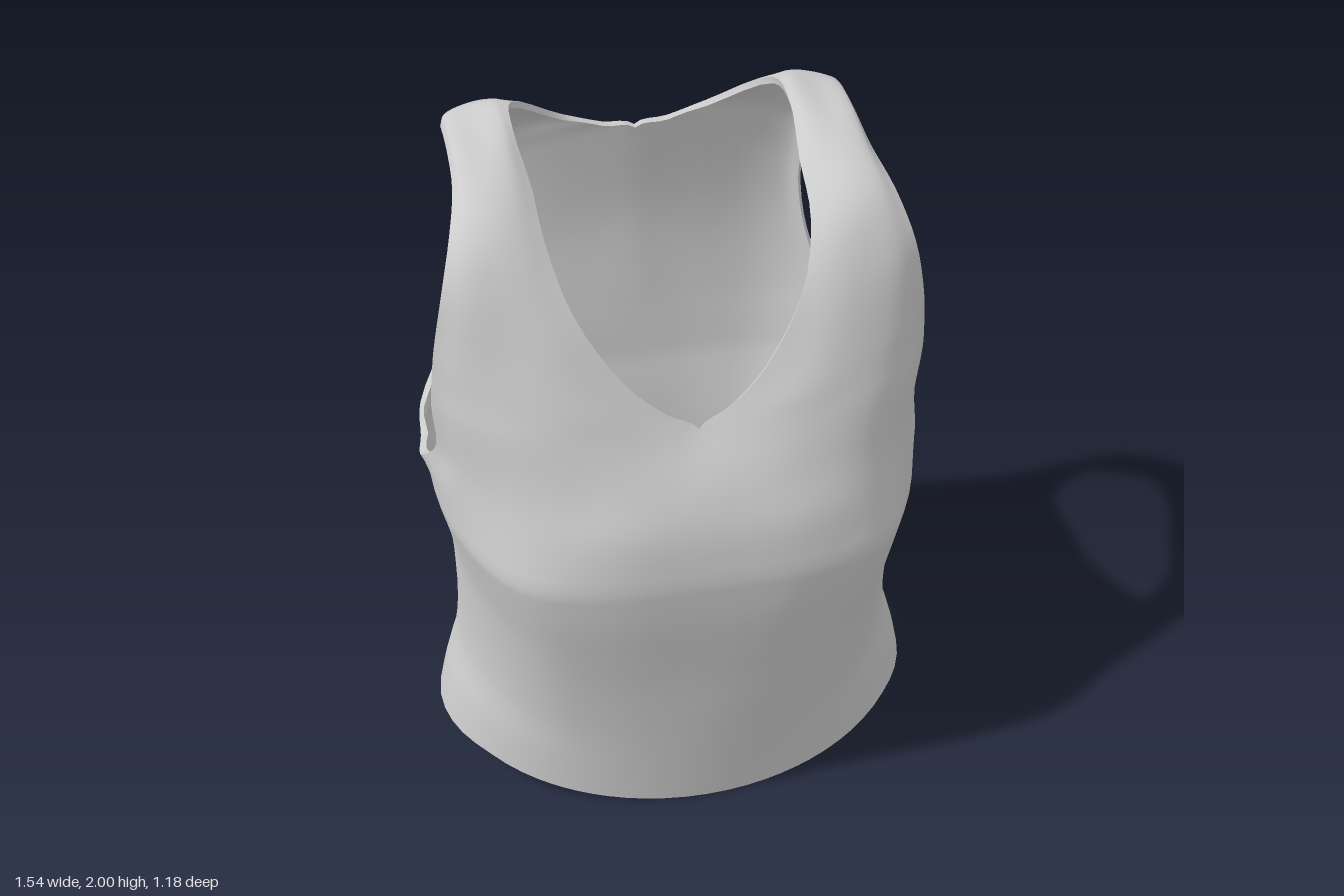
import * as THREE from 'three';
import { mergeGeometries, mergeVertices } from 'three/addons/utils/BufferGeometryUtils.js';

const STEP = 4;   // samples between neighbouring rows
const COLS = 20;  // samples across a row

// Left half of the yoke: each row runs from the armhole edge to the neckline (or centre line).
const chestRows = [
  [[.745, 1.035, -.14], [.705, .97, .21], [.545, .94, .495], [.32, .94, .582], [0, .94, .593]],
  [[.758, 1.08, .01], [.69, 1.08, .235], [.53, 1.09, .445], [.3, 1.09, .545], [0, 1.09, .557]],
  [[.715, 1.21, .14], [.65, 1.21, .28], [.5, 1.21, .42], [.27, 1.21, .485], [0, 1.21, .495]],
  [[.72, 1.36, .16], [.645, 1.36, .28], [.5, 1.35, .38], [.28, 1.34, .42], [0, 1.335, .39]],
  [[.712, 1.46, .172], [.637, 1.445, .268], [.51, 1.43, .345], [.32, 1.41, .39], [.09, 1.385, .37]],
  [[.70, 1.56, .18], [.63, 1.53, .255], [.52, 1.51, .31], [.37, 1.49, .35], [.2, 1.48, .335]],
];
const shoulderRows = [
  [[.665, 1.73, .17], [.6, 1.72, .21], [.5, 1.70, .235], [.41, 1.68, .25], [.32, 1.66, .25]],
  [[.625, 1.85, .08], [.58, 1.86, .11], [.51, 1.86, .125], [.44, 1.84, .13], [.37, 1.81, .12]],
  [[.595, 1.91, -.07], [.57, 1.93, -.05], [.5, 1.94, -.05], [.43, 1.93, -.05], [.38, 1.90, -.05]],
  [[.59, 1.945, -.25], [.575, 1.97, -.25], [.5, 1.98, -.25], [.43, 1.99, -.25], [.4, 1.98, -.25]],
  [[.59, 1.93, -.40], [.575, 1.95, -.43], [.5, 1.97, -.45], [.43, 1.99, -.42], [.385, 1.99, -.39]],
];
const backRows = [
  [[.56, 1.76, -.525], [.535, 1.78, -.56], [.46, 1.81, -.57], [.35, 1.84, -.555], [.22, 1.86, -.535]],
  [[.545, 1.66, -.555], [.505, 1.68, -.582], [.42, 1.73, -.585], [.27, 1.79, -.56], [.1, 1.82, -.54]],
  [[.535, 1.56, -.56], [.495, 1.58, -.585], [.4, 1.64, -.59], [.24, 1.73, -.565], [0, 1.80, -.54]],
  [[.555, 1.38, -.53], [.50, 1.38, -.56], [.385, 1.4, -.58], [.2, 1.45, -.575], [0, 1.5, -.565]],
  [[.62, 1.2, -.45], [.55, 1.18, -.497], [.41, 1.18, -.542], [.2, 1.2, -.545], [0, 1.22, -.54]],
  [[.73, 1.06, -.28], [.625, 1.06, -.41], [.435, 1.07, -.51], [.22, 1.08, -.525], [0, 1.09, -.525]],
  [[.745, 1.035, -.14], [.675, .98, -.34], [.45, .97, -.48], [.22, .97, -.508], [0, .97, -.51]],
];
const yokeRows = [...chestRows, ...shoulderRows, ...backRows];
const NECK_FRONT = 3 * STEP, NECK_BACK = 13 * STEP;

// Waist profile, evenly spaced from underarm to hem: half width, front depth, back depth.
const waist = new THREE.CatmullRomCurve3([
  [.745, .593, .51], [.715, .592, .483], [.694, .583, .462], [.689, .573, .45],
  [.69, .566, .445], [.703, .558, .455], [.742, .549, .472], [.772, .54, .465],
].map(p => new THREE.Vector3(...p)), false, 'catmullrom');

function sample(points, count) {
  const curve = new THREE.CatmullRomCurve3(points);
  return Array.from({ length: count + 1 }, (_, i) => {
    const p = curve.getPoint(i / count);
    p.x = Math.max(0, p.x);
    return p;
  });
}

// Surface through equally long rows of points.
function grid(rows) {
  const n = rows[0].length, index = [];
  for (let r = 0; r < rows.length - 1; r++) {
    for (let c = 0; c < n - 1; c++) {
      const a = r * n + c, b = a + n;
      index.push(a, b, a + 1, b, b + 1, a + 1);
    }
  }
  const geometry = new THREE.BufferGeometry().setFromPoints(rows.flat());
  geometry.setIndex(index);
  geometry.computeVertexNormals();
  return geometry;
}

const mirrorRows = rows => rows.map(row =>
  row.map(p => new THREE.Vector3(-p.x, p.y, p.z)).reverse());

function yokeGrid() {
  const columns = [0, 1, 2, 3, 4].map(c => sample(
    yokeRows.map(row => new THREE.Vector3(...row[c])), (yokeRows.length - 1) * STEP));
  return columns[0].map((_, r) => sample(columns.map(col => col[r]), COLS));
}

// Rings from the underarm line down to the curved hem, easing into an ellipse.
function bodyGrid(topRing) {
  const steps = 28, top = waist.getPoint(0);
  return Array.from({ length: steps + 1 }, (_, s) => {
    const t = s / steps, size = waist.getPoint(t);
    return topRing.map(p => {
      if (s === 0) return p.clone();
      const side = p.z > 0 ? 'y' : 'z', depth = size[side];
      const x = p.x * size.x / top.x, z = p.z * depth / top[side];
      const angle = Math.atan2(x / size.x, z / depth);
      const k = THREE.MathUtils.smoothstep(t, 0, 1);
      // the small of the back is flattened at its corners
      const tuck = p.z > 0 ? 1 : 1 - .06 * Math.sin(2 * angle) ** 2 * Math.sin(Math.PI * t);
      const px = tuck * THREE.MathUtils.lerp(x, size.x * Math.sin(angle), k);
      const pz = tuck * THREE.MathUtils.lerp(z, depth * Math.cos(angle), k);
      const hem = pz > 0 ? .08 - .075 * Math.max(0, (pz - .28) / .26) : .08 - .12 * pz;
      return new THREE.Vector3(Math.max(0, px), THREE.MathUtils.lerp(p.y, hem, t), pz);
    });
  });
}

// Narrow turned-in band along an open edge column.
function trim(rows, from, to, column, depth) {
  const normals = grid(rows).attributes.normal, n = rows[0].length;
  const edge = rows.slice(from, to + 1).map(row => row[column]);
  const inner = edge.map((p, i) => {
    const normal = new THREE.Vector3().fromBufferAttribute(normals, (from + i) * n + column);
    if (p.x < 1e-4) normal.setX(0).normalize();
    return p.clone().addScaledVector(normal, -depth);
  });
  return [edge, inner];
}

export function createModel() {
  const group = new THREE.Group();
  const material = new THREE.MeshStandardMaterial({ color: 0xcccccc, side: THREE.DoubleSide });
  const add = (name, halves) => {
    const parts = halves.flatMap(rows => [grid(rows), grid(mirrorRows(rows))]);
    parts.forEach(part => part.deleteAttribute('normal'));
    const geometry = mergeVertices(mergeGeometries(parts), 1e-4);
    geometry.computeVertexNormals();
    const mesh = new THREE.Mesh(geometry, material);
    mesh.name = name;
    group.add(mesh);
  };

  const yoke = yokeGrid(), last = yoke.length - 1;
  const ring = [...yoke[0]].reverse().concat(yoke[last].slice(1));

  // Main cloth of the sleeveless top
  add('garmentBody', [yoke, bodyGrid(ring)]);

  // Turned edges
  add('armholeTrim', [trim(yoke, 0, last, 0, .025)]);
  add('necklineTrim', [trim(yoke, NECK_FRONT, NECK_BACK, COLS, .02)]);
  return group;
}
